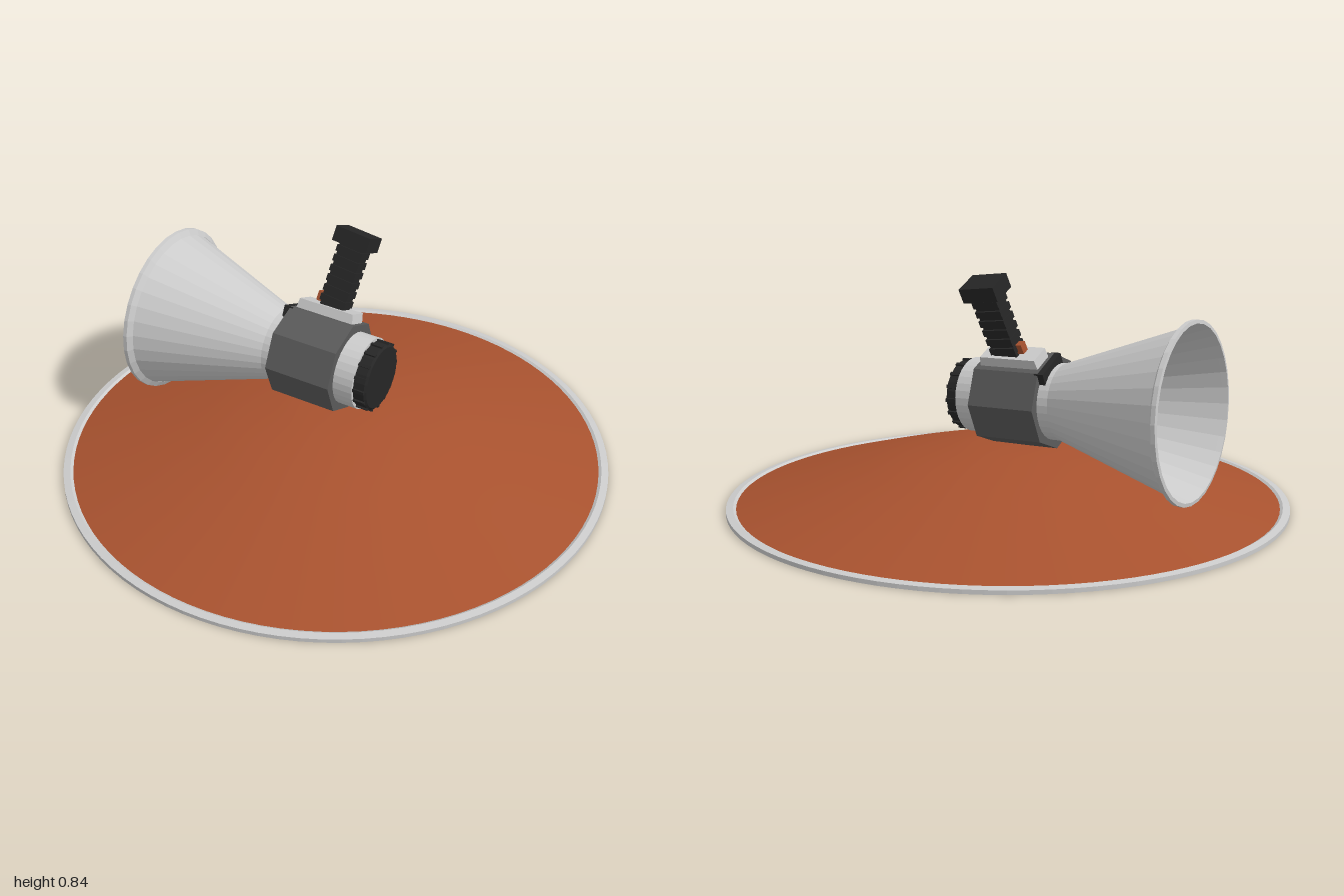
import * as THREE from 'three';

const material = (color, flatShading = true, side = THREE.FrontSide) =>
  new THREE.MeshStandardMaterial({ color, flatShading, side });

const v2 = (points) => points.map(([r, h]) => new THREE.Vector2(r, h));

function add(parent, name, geometry, mat, x = 0, y = 0, z = 0) {
  const mesh = new THREE.Mesh(geometry, mat);
  mesh.name = name;
  mesh.position.set(x, y, z);
  parent.add(mesh);
  return mesh;
}

// Turned part about the x axis, from [radius, x] points
function turned(points, sides) {
  const geometry = new THREE.LatheGeometry(v2(points), sides, Math.PI / sides);
  return geometry.rotateZ(-Math.PI / 2);
}

export function createModel() {
  const model = new THREE.Group();
  model.name = 'megaphoneOnDome';

  const grey = material(0xcccccc);
  const greyOpen = material(0xcccccc, true, THREE.DoubleSide);
  const housingGrey = material(0x5a5a5a);
  const black = material(0x262626);
  const orange = material(0xa8522f);

  // Low dome: smooth open shell
  const domeCurve = new THREE.SplineCurve(v2([
    [0.965, 0.012], [0.8, 0.059], [0.6, 0.114], [0.4, 0.163],
    [0.2, 0.197], [0.08, 0.206], [0, 0.207],
  ]));
  add(model, 'dome', new THREE.LatheGeometry(domeCurve.getPoints(32), 96),
    material(0xa8522f, false, THREE.DoubleSide));

  // Flat band around the edge of the dome
  add(model, 'domeRim', new THREE.LatheGeometry(v2([
    [0.965, 0], [1, 0], [1, 0.014], [0.975, 0.018], [0.965, 0.012], [0.965, 0],
  ]), 96), grey);

  // Megaphone: mouth towards -x, rolled so the handle leans to the back
  const horn = new THREE.Group();
  horn.name = 'megaphone';
  horn.position.set(-0.075, 0.377, -0.007);
  horn.rotation.set(-0.42, 0.055, -0.028, 'YZX');
  model.add(horn);

  // Hollow bell and its rolled lip
  add(horn, 'bell', turned([[0.292, -0.63], [0.135, -0.165], [0.135, -0.12]], 32), greyOpen);
  add(horn, 'bellLip', turned([
    [0.29, -0.625], [0.297, -0.645], [0.31, -0.643], [0.31, -0.628], [0.29, -0.615],
  ], 32), greyOpen);

  // Eight-sided housing, open through the middle
  add(horn, 'housing', turned([
    [0.13, -0.125], [0.17, -0.125], [0.17, 0.13], [0.125, 0.13],
  ], 8), housingGrey);
  add(horn, 'housingClip', new THREE.BoxGeometry(0.035, 0.045, 0.14), black, -0.13, 0.134, 0);

  // Collar and ribbed end cap
  add(horn, 'collar', turned([[0.133, 0.13], [0.133, 0.205], [0.12, 0.205]], 32), grey);
  add(horn, 'endCap', turned([[0.122, 0.2], [0.122, 0.247], [0.114, 0.254], [0, 0.254]], 24), black);
  const ribs = 16;
  for (let i = 0; i < ribs; i++) {
    const a = (i / ribs) * Math.PI * 2;
    const rib = add(horn, 'capRib', new THREE.BoxGeometry(0.044, 0.01, 0.012), black,
      0.227, Math.cos(a) * 0.123, Math.sin(a) * 0.123);
    rib.rotation.x = a;
  }

  // Handle base: plate with sloped ends
  const plate = new THREE.Shape(v2([[-0.115, 0.15], [0.115, 0.15], [0.108, 0.192], [-0.108, 0.192]]));
  add(horn, 'handlePlate',
    new THREE.ExtrudeGeometry(plate, { depth: 0.084, bevelEnabled: false }), grey, 0, 0, -0.042);

  // Ribbed grip, end block and trigger
  const handle = new THREE.Group();
  handle.name = 'handle';
  handle.position.set(0.012, 0.18, 0);
  handle.rotation.z = -0.1;
  horn.add(handle);
  add(handle, 'grip', new THREE.BoxGeometry(0.094, 0.25, 0.054), black, 0, 0.125, 0);
  for (let i = 0; i < 6; i++) {
    add(handle, 'gripRidge', new THREE.BoxGeometry(0.102, 0.024, 0.068), black, 0, 0.035 + i * 0.037, 0);
  }
  add(handle, 'handleEnd', new THREE.BoxGeometry(0.138, 0.054, 0.1), black, 0, 0.268, 0);
  add(handle, 'trigger', new THREE.BoxGeometry(0.025, 0.035, 0.03), orange, -0.058, 0.03, 0);

  return model;
}
